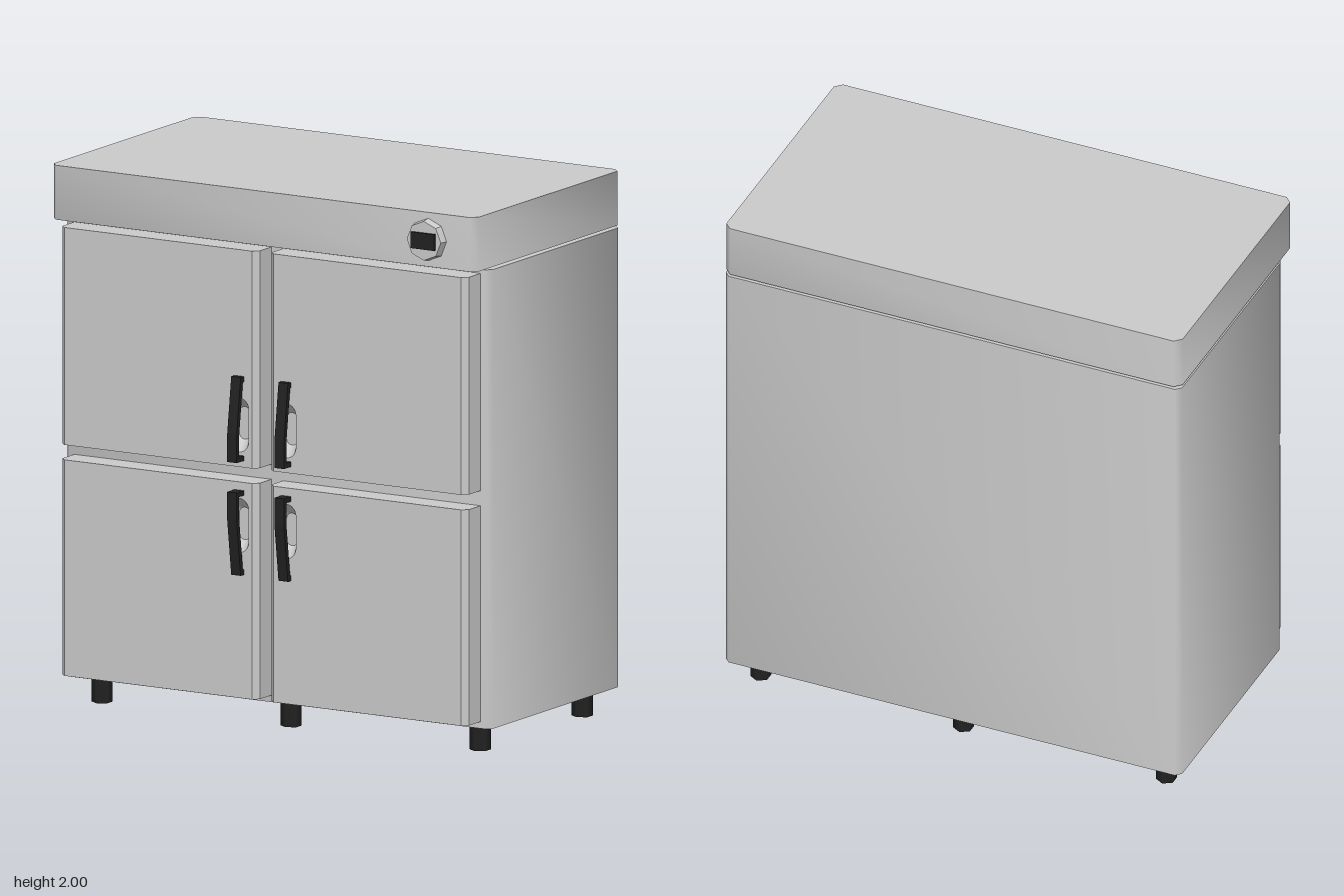
import * as THREE from 'three';
import { toCreasedNormals } from 'three/addons/utils/BufferGeometryUtils.js';

const steel = new THREE.MeshStandardMaterial({ color: 0xcccccc });
const black = new THREE.MeshStandardMaterial({ color: 0x222222 });

const FRONT = 0.475, BODY_FRONT = 0.375, BACK = -0.525, HALF_W = 0.9;

function add(parent, name, geometry, material, x = 0, y = 0, z = 0) {
  const mesh = new THREE.Mesh(geometry, material);
  mesh.name = name;
  mesh.position.set(x, y, z);
  parent.add(mesh);
  return mesh;
}

const polygon = (pts) => new THREE.Shape(pts.map(([x, y]) => new THREE.Vector2(x, y)));

// Upright block whose four vertical edges are chamfered
function chamferedBlock(halfW, zBack, zFront, y0, y1, c) {
  const a = -zFront, b = -zBack;
  const plan = polygon([
    [-halfW + c, a], [halfW - c, a], [halfW, a + c], [halfW, b - c],
    [halfW - c, b], [-halfW + c, b], [-halfW, b - c], [-halfW, a + c],
  ]);
  const g = new THREE.ExtrudeGeometry(plan, { depth: y1 - y0, bevelEnabled: false });
  g.rotateX(-Math.PI / 2).translate(0, y0, 0);
  return toCreasedNormals(g, 0.9);
}

// Slot outline with round ends
function slot(PathType, cx, cy, r, halfH) {
  const p = new PathType();
  p.absarc(cx, cy + halfH - r, r, 0, Math.PI, false);
  p.absarc(cx, cy - halfH + r, r, Math.PI, Math.PI * 2, false);
  p.closePath();
  return p;
}

// Door panel with chamfered front side edges and a tapered finger recess
function makeDoor(side, y0, y1, recessY) {
  const door = new THREE.Group();
  const xs = [0.025 * side, 0.86 * side].sort((a, b) => a - b);
  const cx = 0.1 * side, taper = 0.6, depth = FRONT - BODY_FRONT, chamfer = 0.02;
  const shape = polygon([[xs[0], y0], [xs[1], y0], [xs[1], y1], [xs[0], y1]]);
  shape.holes.push(slot(THREE.Path, cx, recessY, 0.04, 0.1));
  const g = new THREE.ExtrudeGeometry(shape, { depth, steps: 5, bevelEnabled: false, curveSegments: 8 });
  const p = g.attributes.position;
  for (let i = 0; i < p.count; i++) {
    const x = p.getX(i), y = p.getY(i), z = p.getZ(i);
    const atLeft = Math.abs(x - xs[0]) < 1e-4, atRight = Math.abs(x - xs[1]) < 1e-4;
    if (atLeft || atRight) {
      if (z > depth - 1e-4) p.setX(i, x + (atLeft ? chamfer : -chamfer));
    } else {
      const s = THREE.MathUtils.lerp(1, taper, Math.min(1, (depth - z) / 0.04));
      p.setX(i, cx + (x - cx) * s);
      p.setY(i, recessY + (y - recessY) * s);
    }
  }
  add(door, 'doorPanel', toCreasedNormals(g, 0.5), steel, 0, 0, BODY_FRONT);
  const floor = slot(THREE.Shape, 0, 0, 0.04, 0.1);
  add(door, 'recessFloor', new THREE.ShapeGeometry(floor, 8), steel, cx, recessY, FRONT - 0.04)
    .scale.set(taper, taper, 1);
  return door;
}

// Bent bar handle, drawn from the side as (z, y); the lower one is upside down
function handleGeometry(lower) {
  const side = [
    [0.47, 1.0], [0.525, 1.0], [0.525, 1.1], [0.497, 1.31], [0.47, 1.31],
    [0.47, 1.29], [0.482, 1.29], [0.507, 1.1], [0.507, 1.018], [0.47, 1.018],
  ].map(([z, y]) => [z, lower ? 1.89 - y : y]);
  const g = new THREE.ExtrudeGeometry(polygon(side), { depth: 0.04, bevelEnabled: false });
  return g.translate(0, 0, -0.02).rotateY(-Math.PI / 2);
}

export function createModel() {
  const model = new THREE.Group();
  model.name = 'refrigeratedCabinet';

  // Cabinet, narrow spacer and overhanging top
  add(model, 'cabinetBody', chamferedBlock(HALF_W, BACK, BODY_FRONT, 0.1, 1.79, 0.02), steel);
  add(model, 'topSpacer', new THREE.BoxGeometry(1.6, 0.03, 0.805), steel, 0, 1.795, -0.0275);
  add(model, 'topHousing', chamferedBlock(HALF_W, BACK, FRONT, 1.8, 2, 0.025), steel);

  // Four doors with handles
  for (const side of [-1, 1]) {
    for (const lower of [false, true]) {
      const door = lower ? makeDoor(side, 0.125, 0.92, 0.76) : makeDoor(side, 0.975, 1.775, 1.13);
      door.name = (lower ? 'lower' : 'upper') + (side > 0 ? 'Left' : 'Right') + 'Door';
      add(door, 'handle', handleGeometry(lower), black, 0.1 * side);
      model.add(door);
    }
  }

  // Thermostat dial with a dark display
  const dial = new THREE.CylinderGeometry(0.072, 0.078, 0.03, 8).rotateX(Math.PI / 2);
  const dialMesh = add(model, 'thermostatDial', dial, steel, 0.7, 1.9, FRONT + 0.015);
  dialMesh.material = steel.clone();
  dialMesh.material.flatShading = true;
  add(model, 'thermostatDisplay', new THREE.BoxGeometry(0.1, 0.06, 0.02), black, 0.7, 1.9, 0.505);

  // Six hexagonal feet
  const foot = new THREE.CylinderGeometry(0.038, 0.038, 0.105, 6);
  for (const x of [-0.8, 0, 0.8]) {
    for (const z of [0.28, -0.42]) add(model, 'foot', foot, black, x, 0.0525, z);
  }
  return model;
}
